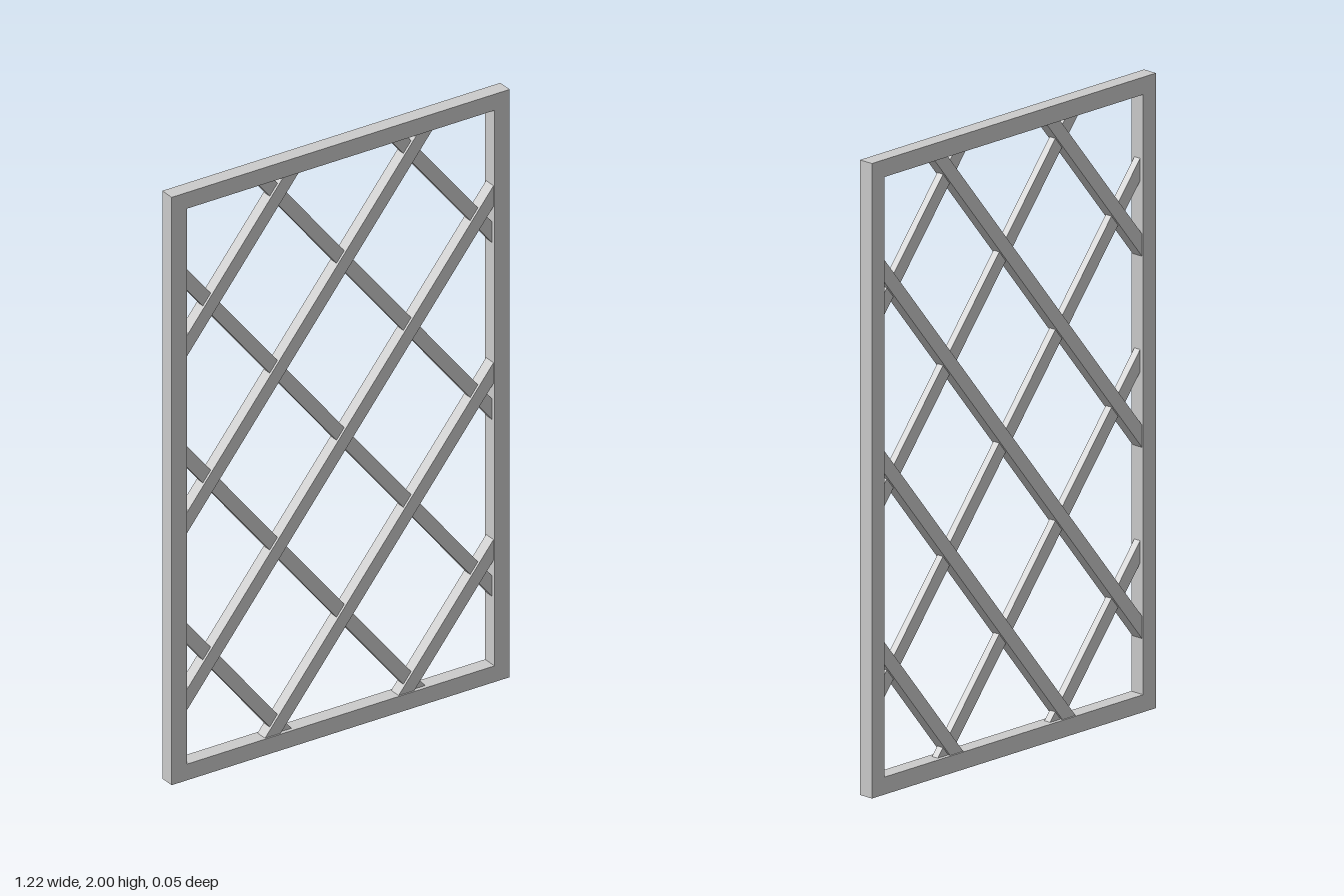
import * as THREE from 'three';

const W = 1.22, H = 2, DEPTH = 0.05, RAIL = 0.055;

export function createModel() {
  const group = new THREE.Group();
  const material = new THREE.MeshStandardMaterial({ color: 0xcccccc, flatShading: true });

  // Outer frame: a rectangle with a rectangular opening
  const xIn = W / 2 - RAIL, yLow = RAIL, yHigh = H - RAIL;
  const outline = new THREE.Shape([
    new THREE.Vector2(-W / 2, 0), new THREE.Vector2(W / 2, 0),
    new THREE.Vector2(W / 2, H), new THREE.Vector2(-W / 2, H),
  ]);
  outline.holes.push(new THREE.Path([
    new THREE.Vector2(-xIn, yLow), new THREE.Vector2(-xIn, yHigh),
    new THREE.Vector2(xIn, yHigh), new THREE.Vector2(xIn, yLow),
  ]));
  const frameGeometry = new THREE.ExtrudeGeometry(outline, { depth: DEPTH, bevelEnabled: false });
  frameGeometry.translate(0, 0, -DEPTH / 2);
  const frame = new THREE.Mesh(frameGeometry, material);
  frame.name = 'frame';
  group.add(frame);

  // Diagonal slats, their ends tucked into the frame
  const slope = 1.248, centreX = 0.022, centreY = 0.986, pitch = 0.602;
  const slatWidth = 0.044, tuck = 0.03;

  function addSlats(name, sign, depth) {
    const slats = new THREE.Group();
    slats.name = name;
    const m = sign * slope;
    for (let k = -2; k <= 2; k++) {
      const y0 = centreY + k * pitch;
      // where the slat's centre line meets the opening
      const xa = centreX + (yLow - y0) / m, xb = centreX + (yHigh - y0) / m;
      const x1 = Math.max(-xIn, Math.min(xa, xb));
      const x2 = Math.min(xIn, Math.max(xa, xb));
      const length = (x2 - x1) * Math.hypot(1, m) + 2 * tuck;
      const slat = new THREE.Mesh(new THREE.BoxGeometry(length, slatWidth, depth), material);
      const x = (x1 + x2) / 2;
      slat.position.set(x, y0 + m * (x - centreX), 0);
      slat.rotation.z = Math.atan(m);
      slat.name = name + (k + 3);
      slats.add(slat);
    }
    group.add(slats);
  }
  addSlats('risingSlat', 1, 0.04);
  addSlats('fallingSlat', -1, 0.024);

  return group;
}
